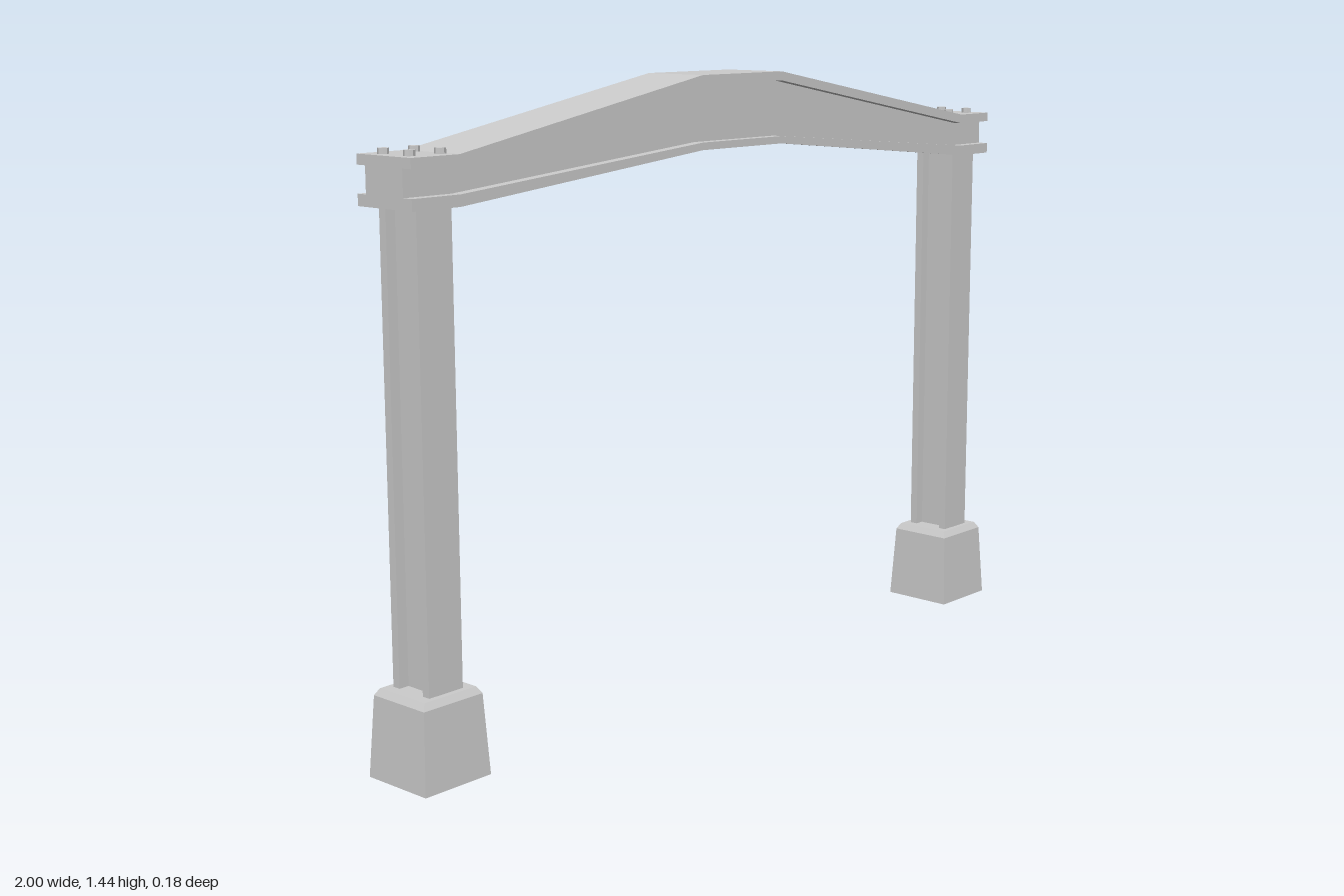
import * as THREE from 'three';

const material = new THREE.MeshStandardMaterial({ color: 0xcccccc, flatShading: true });

function part(name, geometry, x = 0, y = 0, z = 0) {
  const flat = geometry.index ? geometry.toNonIndexed() : geometry;
  flat.computeVertexNormals();
  const mesh = new THREE.Mesh(flat, material);
  mesh.name = name;
  mesh.position.set(x, y, z);
  return mesh;
}

// I-shaped outline: half width w, half web thickness t, and four heights
function iShape(w, t, [a, b, c, d]) {
  return new THREE.Shape([
    [-w, a], [w, a], [w, b], [t, b], [t, c], [w, c],
    [w, d], [-w, d], [-w, c], [-t, c], [-t, b], [-w, b],
  ].map(([x, y]) => new THREE.Vector2(x, y)));
}

// Beam: I-section swept along x, its heights set at each station
function beamGeometry() {
  const low = [1.205, 1.23, 1.288, 1.31];
  const high = [1.276, 1.293, 1.422, 1.443];
  const stations = [
    [-0.988, low], [-0.862, low], [-0.14, high],
    [0.135, high], [0.862, low], [0.982, low],
  ];
  const geometry = new THREE.ExtrudeGeometry(iShape(0.083, 0.057, [0, 1, 2, 3]), {
    depth: 5, steps: 5, bevelEnabled: false,
  });
  const p = geometry.attributes.position;
  for (let i = 0; i < p.count; i++) {
    const [x, heights] = stations[Math.round(p.getZ(i))];
    p.setXYZ(i, x, heights[Math.round(p.getY(i))], -p.getX(i));
  }
  return geometry;
}

// Column: I-section with its flanges facing front and back
function columnGeometry() {
  const shape = iShape(0.046, 0.022, [-0.057, -0.037, 0.037, 0.057]);
  return new THREE.ExtrudeGeometry(shape, { depth: 1.03, bevelEnabled: false })
    .rotateX(-Math.PI / 2);
}

// Footing: tapered square block with a chamfered top
function footingGeometry() {
  const profile = [[0, 0], [0.09, 0], [0.08, 0.18], [0.071, 0.195], [0, 0.195]]
    .map(([r, y]) => new THREE.Vector2(r * Math.SQRT2, y));
  return new THREE.LatheGeometry(profile, 4, Math.PI / 4);
}

export function createModel() {
  const group = new THREE.Group();
  group.name = 'portalFrame';
  group.add(part('beam', beamGeometry()));

  for (const [side, s] of [['left', 1], ['right', -1]]) {
    const post = new THREE.Group();
    post.name = side + 'Post';
    post.position.x = s * 0.91;
    post.add(part('footing', footingGeometry()));
    post.add(part('column', columnGeometry(), 0, 0.185, 0));
    // Four bolt heads on the beam end
    for (const dx of [-0.04, 0.04]) {
      for (const z of [-0.04, 0.04]) {
        const bolt = new THREE.CylinderGeometry(0.012, 0.012, 0.022, 8);
        post.add(part('bolt', bolt, dx - 0.005, 1.311, z));
      }
    }
    group.add(post);
  }
  return group;
}
